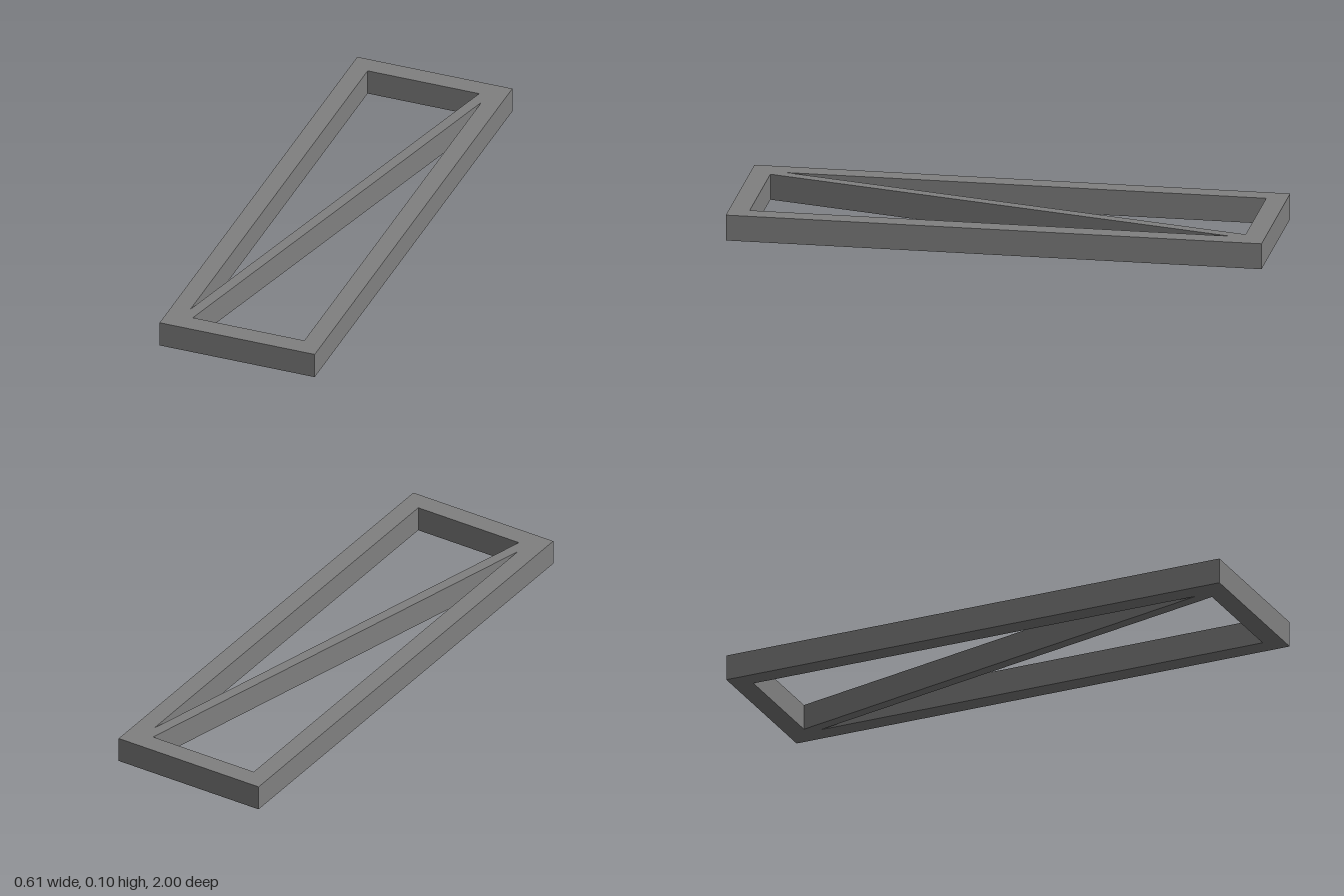
import * as THREE from 'three';

const HEIGHT = 0.098;
const OUTER = { x: 0.306, z: 1 };
const INNER = { x: 0.235, z: 0.923 };
// where the brace edges meet the inner sides of the frame
const TIP = { x: 0.205, z: 0.87 };

const points = (list) => list.map(([x, y]) => new THREE.Vector2(x, y));

export function createModel() {
  const group = new THREE.Group();
  group.name = 'bracedFrame';

  const grey = new THREE.MeshStandardMaterial({ color: 0x808080 });
  grey.name = 'grey';

  // Plan outline, drawn with y pointing to the back
  const plan = new THREE.Shape(points([
    [-OUTER.x, -OUTER.z], [OUTER.x, -OUTER.z], [OUTER.x, OUTER.z], [-OUTER.x, OUTER.z],
  ]));

  // Two triangular openings, leaving the diagonal brace between them
  for (const s of [1, -1]) {
    plan.holes.push(new THREE.Path(points([
      [-INNER.x * s, INNER.z * s], [TIP.x * s, INNER.z * s], [-INNER.x * s, -TIP.z * s],
    ])));
  }

  const geometry = new THREE.ExtrudeGeometry(plan, { depth: HEIGHT, bevelEnabled: false });
  geometry.rotateX(-Math.PI / 2);

  const frame = new THREE.Mesh(geometry, grey);
  frame.name = 'frameWithDiagonalBrace';
  group.add(frame);
  return group;
}
